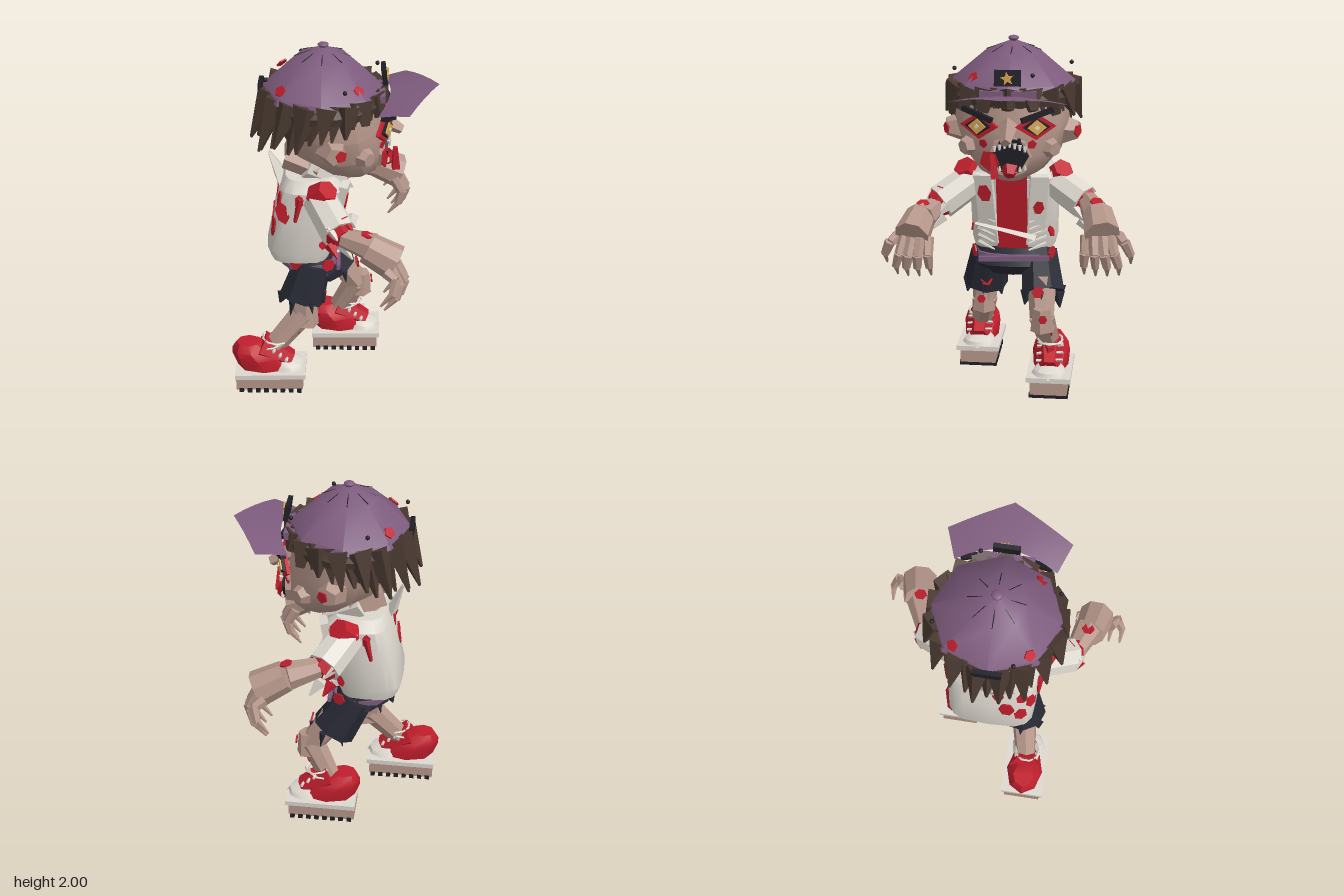
import * as THREE from 'three';
import { toCreasedNormals } from 'three/addons/utils/BufferGeometryUtils.js';

const paint = (name, color) => Object.assign(new THREE.MeshStandardMaterial({ color }), { name });
const V = (x, y, z) => new THREE.Vector3(x, y, z);
const UP = V(0, 1, 0);

// closed loft through flattened rings [y, centreX, radiusX, radiusZ]; power < 1 squares the ring
function ringPoint([y, cx, rx, rz], a, power = 1) {
  const f = t => Math.sign(t) * Math.pow(Math.abs(t), power);
  return V(cx + rx * f(Math.cos(a)), y, rz * f(Math.sin(a)));
}
function loft(rings, n, power = 1) {
  const pos = [], tri = (...p) => p.forEach(q => pos.push(q.x, q.y, q.z));
  const grid = rings.map(r => Array.from({ length: n }, (_, j) => ringPoint(r, j / n * Math.PI * 2, power)));
  const last = rings.length - 1;
  const mid = i => V(rings[i][1], rings[i][0], 0);
  for (let j = 0; j < n; j++) {
    const k = (j + 1) % n;
    tri(mid(0), grid[0][j], grid[0][k]);
    tri(mid(last), grid[last][k], grid[last][j]);
    for (let i = 0; i < last; i++) {
      tri(grid[i][j], grid[i + 1][j], grid[i][k]);
      tri(grid[i][k], grid[i + 1][j], grid[i + 1][k]);
    }
  }
  return new THREE.BufferGeometry().setAttribute('position', new THREE.Float32BufferAttribute(pos, 3));
}

export function createModel() {
  const root = new THREE.Group();
  root.name = 'character';
  const skin = paint('skin', 0xb5968a), white = paint('cloth white', 0xdcd7ce), red = paint('blood red', 0xc01e2c);
  const purple = paint('cap purple', 0x7d5b7d), brown = paint('hair brown', 0x4a3a31), navy = paint('shorts navy', 0x272934);
  const black = paint('black', 0x1f1e25), gold = paint('gold', 0xd9a850);
  purple.side = THREE.DoubleSide;

  const group = (name, parent = root) => {
    const g = new THREE.Group();
    g.name = name;
    parent.add(g);
    return g;
  };
  const add = (parent, name, geo, mat, p = [0, 0, 0], r = [0, 0, 0], s = [1, 1, 1]) => {
    const m = new THREE.Mesh(toCreasedNormals(geo, 0.65), mat);
    m.name = name;
    m.position.set(...p);
    m.rotation.set(...r);
    m.scale.set(...s);
    parent.add(m);
    return m;
  };
  const box = (parent, name, mat, size, p, r) => add(parent, name, new THREE.BoxGeometry(...size), mat, p, r);
  const ball = (parent, name, mat, size, p) => add(parent, name, new THREE.SphereGeometry(1, 9, 7), mat, p, [0, 0, 0], size);
  // tapered prism from a to b
  const limb = (parent, name, mat, a, b, r1, r2, sides = 7, flat = 1) => {
    const A = V(...a), B = V(...b), d = B.clone().sub(A);
    const m = add(parent, name, new THREE.CylinderGeometry(r2, r1, d.length(), sides), mat);
    m.position.copy(A).add(B).multiplyScalar(0.5);
    m.quaternion.setFromUnitVectors(UP, d.normalize());
    m.scale.z = flat;
    return m;
  };
  // thin patch lying on a surface
  const patch = (parent, name, mat, p, n, r, sides = 6, sx = 1, sz = 1) => {
    const m = add(parent, name, new THREE.CylinderGeometry(r, r, 0.009, sides), mat, p, [0, 0, 0], [sx, 1, sz]);
    m.quaternion.setFromUnitVectors(UP, V(...n).normalize());
    return m;
  };

  // head
  const head = group('head');
  add(head, 'face', loft([[1.245, .13, .06, .07], [1.3, .09, .165, .18], [1.4, .03, .25, .27],
    [1.54, 0, .275, .32], [1.68, -.03, .28, .32], [1.76, -.05, .2, .22]], 12), skin);
  limb(head, 'neck', skin, [-.16, 1.2, 0], [-.05, 1.38, 0], .12, .13, 8);
  limb(head, 'nose', skin, [.25, 1.57, 0], [.375, 1.5, 0], .055, .028, 4);
  for (const s of [1, -1]) {
    limb(head, 'ear', skin, [.0, 1.5, s * .27], [.02, 1.5, s * .365], .09, .05, 5);
    patch(head, 'ear wound', red, [.05, 1.5, s * .36], [.6, 0, s], .034, 5);
    limb(head, 'cheek', skin, [.13, 1.44, s * .18], [.2, 1.43, s * .25], .08, .04, 6);
    patch(head, 'cheek blood', red, [.268, 1.47, s * .13], [1, -.2, s * .5], .026, 5);
    // eyes: stacked diamonds with a glowing iris
    const eye = group('eye', head);
    eye.position.set(.275, 1.57, s * .15);
    eye.rotation.y = -s * .35;
    const layers = [['eyelid', red, .11, .072, 0], ['socket', black, .074, .048, .014], ['iris', gold, .052, .042, .022], ['pupil', white, .014, .014, .027]];
    for (const [name, mat, w, h, x] of layers)
      add(eye, name, new THREE.CylinderGeometry(1, 1, .02, 4), mat, [x, 0, 0], [0, 0, -Math.PI / 2], [h, 1, w]);
    box(eye, 'eyebrow', black, [.03, .025, .18], [.025, .065, 0], [-s * .3, 0, 0]);
  }
  // mouth with teeth and blood
  const mouth = group('mouth', head);
  limb(mouth, 'lips', skin, [.23, 1.4, -.01], [.283, 1.4, -.01], .12, .115, 8);
  limb(mouth, 'throat', black, [.24, 1.41, -.015], [.3, 1.41, -.015], .105, .1, 6);
  for (let i = 0; i < 7; i++) {
    const z = (i - 3) * .027 - .015, arch = Math.abs(i - 3) * .008;
    limb(mouth, 'upper tooth', white, [.305, 1.49 - arch, z], [.31, 1.46 - arch, z], .013, .006, 5);
    limb(mouth, 'lower tooth', white, [.3, 1.315 + arch, z], [.305, 1.34 + arch, z], .011, .004, 5);
  }
  limb(mouth, 'tongue', red, [.29, 1.345, -.015], [.325, 1.31, -.015], .05, .03, 5);
  patch(mouth, 'blood smear', red, [.285, 1.38, .095], [1, 0, .35], .06, 5);
  limb(mouth, 'blood drip', red, [.34, 1.43, .075], [.345, 1.3, .06], .016, .03, 4);

  // hair: a scalp shell and overlapping locks that sweep backwards
  const hair = group('hair');
  add(hair, 'scalp', loft([[1.66, -.05, .31, .345], [1.7, -.05, .325, .355], [1.755, -.06, .3, .32]], 14), brown);
  ball(hair, 'back hair', brown, [.23, .2, .31], [-.1, 1.62, 0]);
  for (let row = 0; row < 2; row++) for (let i = 0; i < 17; i++) {
    const a = (i + row / 2) / 17 * Math.PI * 2, c = Math.cos(a), s = Math.sin(a);
    const back = (1 - c) / 2, k = 1 - row * .12;
    const drop = (.07 + .2 * back) * (i % 2 ? 1 : .85) + row * .02 * back;
    limb(hair, 'lock', brown, [-.05 + .28 * c * k, 1.745, .31 * s * k],
      [-.06 + .33 * c * k - .055 * back, 1.71 - drop, .375 * s * k], .075, c > .5 ? .03 : .008, 4);
  }

  // cap
  const cap = group('cap');
  const crown = [[1.735, -.055, .335, .35], [1.765, -.055, .32, .335], [1.92, -.055, .15, .15], [1.972, -.05, .025, .025]];
  add(cap, 'crown', loft(crown, 8), purple);
  ball(cap, 'button', purple, [.03, .014, .03], [-.05, 1.986, 0]);
  for (let i = 0; i < 8; i++) {
    const a = i / 8 * Math.PI * 2, q = ringPoint(crown[2], a);
    limb(cap, 'seam', black, [-.05, 1.975, 0], [q.x, q.y + .003, q.z], .004, .002, 4);
    const e = ringPoint(crown[1], a + .39);
    if (i % 2) ball(cap, 'eyelet', black, [.012, .012, .012], [e.x, e.y + .07, e.z]);
  }
  // brim: a sheet from the crown out to a pointed edge
  const brim = new THREE.PlaneGeometry(2, 1, 8, 2), bp = brim.attributes.position;
  for (let i = 0; i < bp.count; i++) {
    const t = bp.getX(i), v = bp.getY(i) + .5, n = Math.abs(t);
    const inner = .31 - .07 * t * t, outer = .57 - .17 * n;
    bp.setXYZ(i, inner + (outer - inner) * v, 1.735 + .03 * v - .05 * t * t + .02 * v * (1 - v), t * (.27 + .06 * v));
  }
  add(cap, 'brim', brim, purple);
  box(cap, 'front band', purple, [.06, .04, .3], [.25, 1.735, 0]);
  box(cap, 'badge', black, [.025, .085, .14], [.275, 1.825, 0], [0, 0, .15]);
  box(cap, 'back strap', black, [.025, .05, .15], [-.385, 1.755, 0]);
  const star = new THREE.Shape(Array.from({ length: 10 }, (_, i) => {
    const a = Math.PI / 2 + i * Math.PI / 5, r = i % 2 ? .016 : .037;
    return new THREE.Vector2(r * Math.cos(a), r * Math.sin(a));
  }));
  add(cap, 'badge star', new THREE.ExtrudeGeometry(star, { depth: .009, bevelEnabled: false }), gold, [.289, 1.825, 0], [0, Math.PI / 2, .15]);
  for (const [x, y, z] of [[.14, 1.8, .2], [-.27, 1.8, .2], [-.28, 1.81, -.19]])
    patch(cap, 'blood spot', red, [x, y, z], [x + .06, .25, z], .033, 5);

  // torso: open jacket over a red shirt
  const torso = group('torso');
  const body = [[.79, -.18, .165, .23], [.85, -.18, .185, .245], [1.05, -.145, .18, .25], [1.22, -.11, .18, .25], [1.28, -.12, .14, .2]];
  add(torso, 'jacket', loft(body, 16, .55), white);
  box(torso, 'shirt', red, [.05, .45, .17], [.023, 1.03, 0], [0, 0, -.17]);
  for (const s of [1, -1]) {
    box(torso, 'jacket front', white, [.045, .42, .1], [.035, 1.04, s * .14], [s * .04, -s * .2, -.17]);
    limb(torso, 'collar', white, [.06, 1.22, s * .09], [-.14, 1.33, s * .15], .05, .06, 5, .6);
    limb(torso, 'shoulder tear', red, [-.07, 1.2, s * .24], [-.02, 1.27, s * .28], .085, .06, 6);
    limb(torso, 'hood side', skin, [-.07, 1.31, s * .12], [-.25, 1.37, s * .08], .06, .065, 5);
    limb(torso, 'side tear', red, [-.17, 1.2, s * .255], [-.2, 1.06, s * .252], .02, .01, 4);
    for (let i = 0; i < 5; i++)
      limb(torso, 'rib', white, [.015, .84 + i * .04, s * .19], [.06, .81 + i * .04, s * .095], .012, .005, 5);
  }
  limb(torso, 'hood', white, [-.29, 1.24, .02], [-.345, 1.38, .04], .12, .03, 4, .25).rotateY(Math.PI / 2);
  limb(torso, 'shard', white, [.09, .97, .2], [.11, .9, -.14], .018, .04, 4, .4);
  // blood on the jacket: [angle, height, size]
  for (const [a, y, r] of [[-.9, .9, .03], [1.1, .92, .03], [3.1, 1.17, .04], [2.97, 1.04, .055],
    [2.6, 1.16, .04], [2.6, .99, .045], [2.2, 1.1, .05], [1.7, 1.18, .03], [4.6, 1.18, .03]]) {
    const i = body.findIndex(b => b[0] > y), t = (y - body[i - 1][0]) / (body[i][0] - body[i - 1][0]);
    const ring = body[i].map((v, k) => THREE.MathUtils.lerp(body[i - 1][k], v, t));
    const p = ringPoint(ring, a, .55), faceX = Math.abs(Math.cos(a)) > .7;
    patch(torso, 'blood patch', red, [p.x, p.y, p.z], [Math.cos(a) ** 3, .1, Math.sin(a) ** 3], r, 6, faceX ? 1.3 : .8, faceX ? .8 : 1.3);
  }
  for (const [x, y, z, r] of [[.075, 1.14, .15, .045], [.06, 1.06, -.15, .035], [.03, .88, -.1, .03]])
    patch(torso, 'chest blood', red, [x, y, z], [1, -.17, z], r, 6, 1.2, .9);

  // arms reaching forward with hanging fingers
  for (const s of [1, -1]) {
    const arm = group(s < 0 ? 'leftArm' : 'rightArm');
    const up = s < 0 ? .05 : 0, fw = s < 0 ? .04 : 0;
    limb(arm, 'sleeve', white, [-.07, 1.19, s * .22], [.04, 1.07 + up / 2, s * .4], .095, .1, 8);
    limb(arm, 'torn cuff', red, [.035, 1.08 + up / 2, s * .39], [.065, 1.055 + up / 2, s * .425], .09, .07, 6);
    for (let i = 0; i < 5; i++) {
      const a = i * 1.26;
      limb(arm, 'cuff shred', i % 2 ? red : white, [.04 + .06 * Math.cos(a), 1.07 + .08 * Math.sin(a), s * (.4 - .04 * Math.cos(a))],
        [.09 + .07 * Math.cos(a), 1.02 + .09 * Math.sin(a), s * (.45 - .04 * Math.cos(a))], .035, .005, 4);
    }
    limb(arm, 'forearm', skin, [.06, 1.06 + up, s * .42], [.22, 1.03 + up, s * .475], .055, .08, 7);
    limb(arm, 'hand', skin, [.19 + fw, 1.035 + up, s * .485], [.34 + fw, .96 + up, s * .515], .085, .1, 8);
    patch(arm, 'hand wound', red, [.19 + fw, 1.105 + up, s * .475], [.3, 1, 0], .035);
    for (let i = 0; i < 5; i++) {
      const z = s * (.43 + i * .042), tz = s * (.42 + i * .062), x = .375 + fw - Math.abs(i - 1.5) * .022, len = i === 4 ? .06 : 0;
      limb(arm, 'finger base', skin, [x - .03, .95 + up, z], [x + .02, .86 + up + len, (z + tz) / 2], .034, .028, 6);
      limb(arm, 'finger joint', skin, [x + .022, .87 + up + len, (z + tz) / 2], [x, .79 + up + len, tz], .03, .023, 6);
      limb(arm, 'fingertip', skin, [x, .8 + up + len, tz], [x - .06, .725 + up + len, tz], .02, .006, 5);
    }
  }

  // shorts and belt
  const shorts = group('shorts');
  add(shorts, 'seat', loft([[.64, -.1, .1, .14], [.7, -.11, .15, .24], [.82, -.14, .13, .2]], 12, .8), navy);
  add(shorts, 'belt', loft([[.735, -.13, .165, .22], [.765, -.135, .165, .22]], 12, .7), purple);
  box(shorts, 'belt front', purple, [.02, .028, .4], [.035, .75, -.01], [.04, 0, 0]);
  for (const [x, z] of [[-.2, .21], [-.02, -.22], [-.02, .22], [-.28, 0]]) patch(shorts, 'waist blood', red, [x, .775, z], [x + .12, 0, z], .038);

  // legs in mid stride: [side, knee x, ankle x, shoe x]
  for (const [s, kneeX, ankleX, shoeX] of [[1, -.16, -.34, -.35], [-1, .14, .03, .075]]) {
    const leg = group(s < 0 ? 'leftLeg' : 'rightLeg');
    const hemX = s > 0 ? -.17 : .015;
    limb(leg, 'shorts leg', navy, [-.11, .75, s * .145], [hemX, .545, s * .175], .105, .13, 8);
    for (let i = 0; i < 6; i++) {
      const a = i * Math.PI / 3, c = Math.cos(a), n = Math.sin(a);
      limb(leg, 'torn hem', navy, [hemX + .1 * c, .57, s * .175 + .1 * n], [hemX + .125 * c, .505 - (i % 3) * .012, s * .175 + .115 * n], .04, .004, 4, .5);
    }
    patch(leg, 'shorts blood', red, [hemX + .125, .59, s * .155], [1, .25, 0], .035);
    limb(leg, 'thigh', skin, [hemX, .62, s * .17], [kneeX, .44, s * .18], .085, .07, 7);
    limb(leg, 'knee', skin, [kneeX + .025, .51, s * .18], [kneeX + .01, .38, s * .185], .05, .075, 6);
    limb(leg, 'shin', skin, [kneeX, .45, s * .18], [ankleX, .24, s * .22], .075, .06, 7);
    patch(leg, 'shin wound', red, [(kneeX + ankleX) / 2 + .065, .35, s * .2], [1, -.5, 0], .04);
    patch(leg, 'knee wound', red, [kneeX + .085, .46, s * .19], [1, .1, 0], .025);

    // shoe with a thick ridged sole
    const shoe = group('shoe', leg);
    shoe.position.set(shoeX, 0, s * .225);
    box(shoe, 'sole', skin, [.38, .08, .21], [-.005, .058, 0], [0, 0, .025]);
    box(shoe, 'midsole', white, [.4, .028, .25], [0, .112, 0], [0, 0, .015]);
    for (let i = 0; i < 8; i++) box(shoe, 'tread', black, [.026, .026, .22], [-.165 + i * .047, .013, 0]);
    add(shoe, 'upper', loft([[.12, -.03, .16, .1], [.2, -.07, .15, .107], [.24, -.105, .115, .095], [.28, -.125, .07, .06]], 8), red);
    add(shoe, 'toe cap', loft([[.12, .1, .105, .105], [.15, .1, .09, .09], [.175, .07, .06, .06]], 9), white);
    limb(shoe, 'instep', red, [.115, .16, 0], [-.06, .25, 0], .055, .09, 6);
    limb(shoe, 'tongue', red, [.03, .2, 0], [.05, .275, 0], .07, .04, 5, .7);
    for (let i = 0; i < 3; i++)
      limb(shoe, 'lace', white, [.09 - i * .035, .19 + i * .03, .075], [.11 - i * .035, .21 + i * .03, -.075], .009, .009, 5);
    for (let i = 0; i < 2; i++)
      add(shoe, 'ankle lace', new THREE.TorusGeometry(.07, .007, 4, 9), white, [.01 + i * .015, .27 + i * .03, 0], [Math.PI / 2, .25 - i * .4, 0]);
  }
  return root;
}
